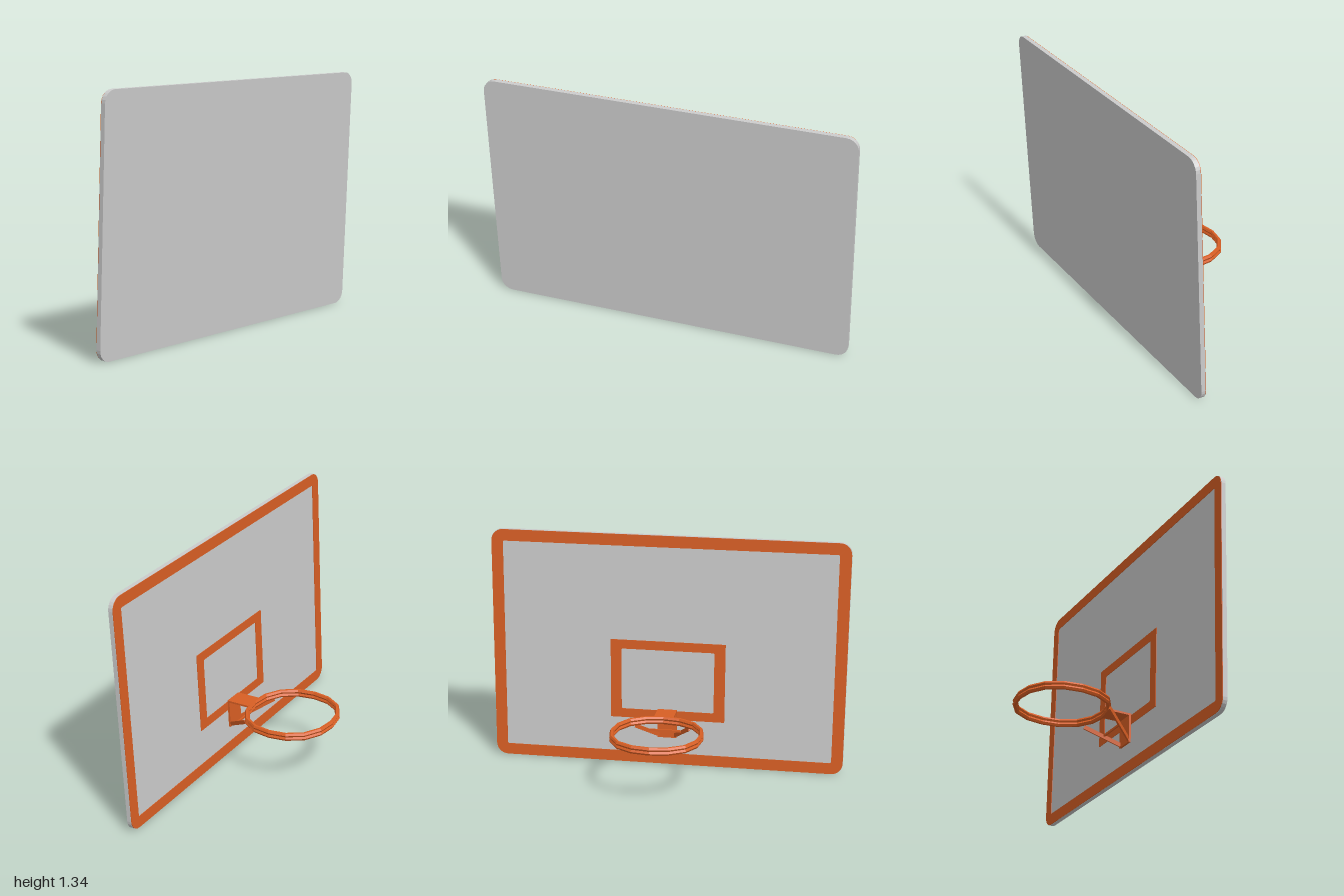
import * as THREE from 'three';

// Rounded rectangle outline, centred on x, from y0 to y1
function roundRect(path, hw, y0, y1, r) {
  path.moveTo(-hw + r, y0);
  path.lineTo(hw - r, y0);
  path.absarc(hw - r, y0 + r, r, -Math.PI / 2, 0, false);
  path.lineTo(hw, y1 - r);
  path.absarc(hw - r, y1 - r, r, 0, Math.PI / 2, false);
  path.lineTo(-hw + r, y1);
  path.absarc(-hw + r, y1 - r, r, Math.PI / 2, Math.PI, false);
  path.lineTo(-hw, y0 + r);
  path.absarc(-hw + r, y0 + r, r, Math.PI, Math.PI * 1.5, false);
  return path;
}

export function createModel() {
  const grey = new THREE.MeshStandardMaterial({ color: 0xcccccc });
  grey.name = 'boardGrey';
  const orange = new THREE.MeshStandardMaterial({ color: 0xd95f24 });
  orange.name = 'rimOrange';

  const model = new THREE.Group();
  model.name = 'basketballHoop';
  // Everything leans together; the origin is the lower back edge of the board
  const hoop = new THREE.Group();
  hoop.name = 'leaningHoop';
  hoop.position.z = 0.282;
  hoop.rotation.x = 0.0375;
  model.add(hoop);

  const add = (name, geometry, material, x = 0, y = 0, z = 0) => {
    const mesh = new THREE.Mesh(geometry, material);
    mesh.name = name;
    mesh.position.set(x, y, z);
    hoop.add(mesh);
    return mesh;
  };
  const extrude = (shape, depth) =>
    new THREE.ExtrudeGeometry(shape, { depth, bevelEnabled: false, curveSegments: 3 });

  // Backboard
  const H = 1.336;
  add('backboard', extrude(roundRect(new THREE.Shape(), 1, 0, H, 0.065), 0.025), grey);

  // Painted border and target rectangle on the playing face
  const frame = (name, hw, y0, y1, r, side, rail) => {
    const shape = roundRect(new THREE.Shape(), hw, y0, y1, r);
    shape.holes.push(roundRect(new THREE.Path(), hw - side, y0 + rail, y1 - rail, 0.008));
    add(name, extrude(shape, 0.003), orange, 0, 0, -0.003);
  };
  frame('borderStripe', 0.999, 0.001, H - 0.001, 0.065, 0.065, 0.065);
  frame('targetStripe', 0.325, 0.27, 0.73, 0.002, 0.062, 0.052);

  // Rim: two stacked rings, slightly squared off
  const ring = new THREE.TorusGeometry(0.245, 0.0125, 6, 16).toNonIndexed();
  const p = ring.attributes.position;
  for (let i = 0; i < p.count; i++) {
    const a = Math.atan2(p.getY(i), p.getX(i));
    const s = 1 + 0.035 * Math.sin(2 * a) ** 2;
    p.setXY(i, p.getX(i) * s, p.getY(i) * s);
  }
  ring.rotateX(-Math.PI / 2);
  ring.computeVertexNormals();
  add('upperRing', ring, orange, 0, 0.327, -0.389);
  add('lowerRing', ring, orange, 0, 0.306, -0.389);

  // Bracket: wall plate and top plate
  add('wallPlate', new THREE.BoxGeometry(0.11, 0.165, 0.012), orange, 0, 0.248, -0.009);
  add('topPlate', new THREE.BoxGeometry(0.11, 0.011, 0.135), orange, 0, 0.325, -0.07);

  // Diagonal struts and the bar that ties them
  for (const side of [1, -1]) {
    const a = new THREE.Vector3(0.045 * side, 0.18, -0.01);
    const b = new THREE.Vector3(0.15 * side, 0.288, -0.18);
    const strut = add(side > 0 ? 'leftStrut' : 'rightStrut',
      new THREE.BoxGeometry(0.01, 0.022, a.distanceTo(b)), orange);
    strut.position.copy(a).lerp(b, 0.5);
    strut.lookAt(b);
    strut.quaternion.setFromRotationMatrix(
      new THREE.Matrix4().lookAt(b, a, new THREE.Vector3(0, 1, 0)));
  }
  add('crossBar', new THREE.BoxGeometry(0.19, 0.012, 0.008), orange, 0, 0.235, -0.09);

  return model;
}
